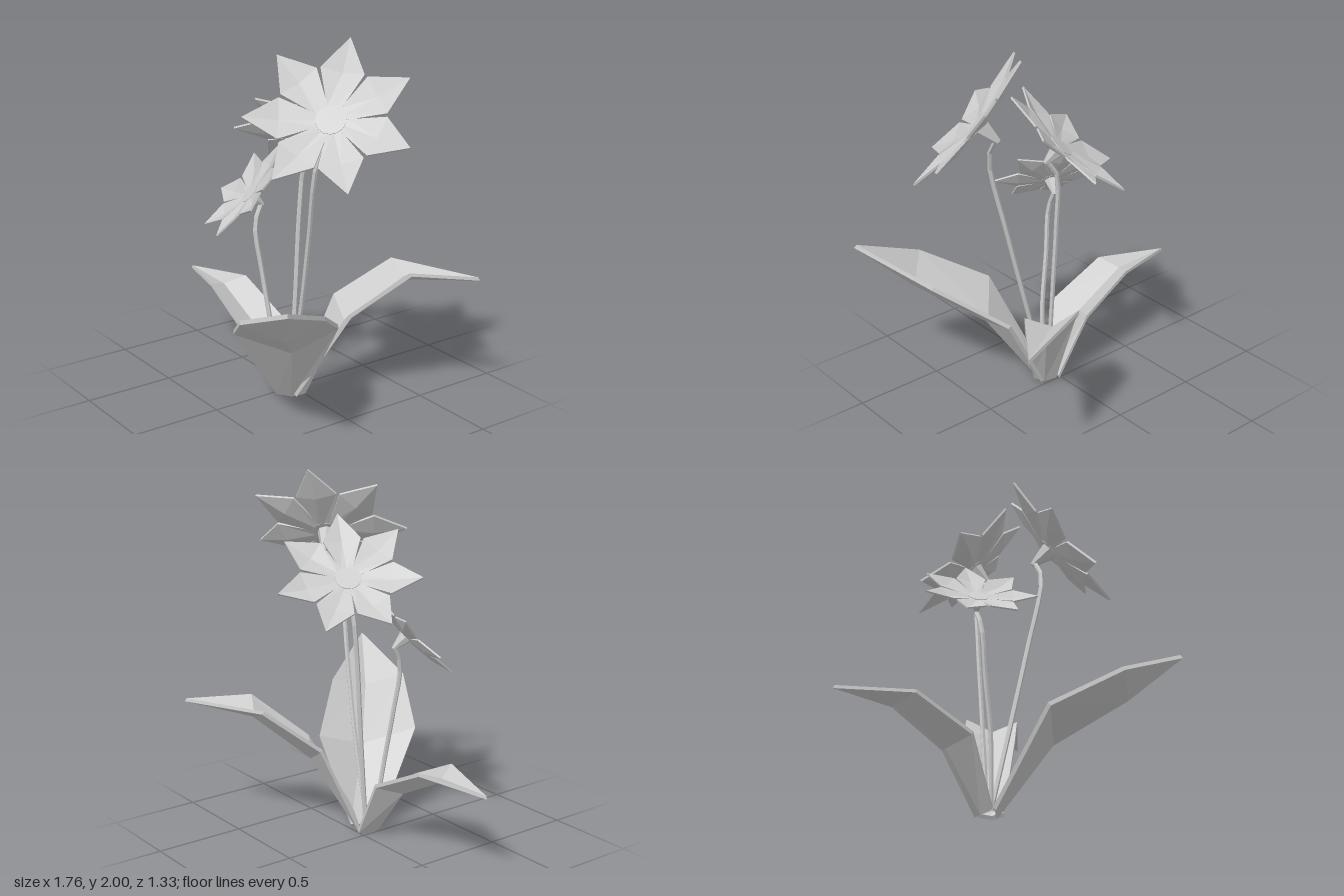
import * as THREE from 'three';

const material = new THREE.MeshStandardMaterial({ color: 0xcccccc, flatShading: true, side: THREE.DoubleSide });
const vec = (p) => new THREE.Vector3(...p);

function addMesh(parent, geometry, name) {
  const mesh = new THREE.Mesh(geometry, material);
  mesh.name = name;
  parent.add(mesh);
  return mesh;
}

// Solid folded blade: rows of [left edge, midrib, right edge], thickened by an offset, ending in a tip
function bladeGeometry(rows, tip, offset) {
  const top = [...rows, [tip, tip, tip]].map((row) => row.map(vec));
  const under = top.map((row) => row.map((p) => p.clone().add(vec(offset))));
  const out = [];
  const tri = (a, b, c) => {
    if (a.equals(b) || b.equals(c) || a.equals(c)) return;
    for (const p of [a, b, c]) out.push(p.x, p.y, p.z);
  };
  const quad = (a, b, c, d) => { tri(a, b, c); tri(a, c, d); };
  for (let i = 0; i < rows.length; i++) {
    for (let j = 0; j < 2; j++) {
      quad(top[i][j], top[i][j + 1], top[i + 1][j + 1], top[i + 1][j]);
      quad(under[i][j + 1], under[i][j], under[i + 1][j], under[i + 1][j + 1]);
    }
    quad(under[i][0], top[i][0], top[i + 1][0], under[i + 1][0]);
    quad(top[i][2], under[i][2], under[i + 1][2], top[i + 1][2]);
  }
  for (let j = 0; j < 2; j++) quad(under[0][j], under[0][j + 1], top[0][j + 1], top[0][j]);
  const geometry = new THREE.BufferGeometry();
  geometry.setAttribute('position', new THREE.Float32BufferAttribute(out, 3));
  geometry.computeVertexNormals();
  return geometry;
}

// Petal along +x, facing +z, with a valley fold down the middle
const petalGeometry = bladeGeometry([
  [[0.07, 0.036, 0.003], [0.07, 0, 0], [0.07, -0.036, 0.003]],
  [[0.256, 0.113, 0.042], [0.256, 0, 0.016], [0.256, -0.113, 0.042]],
], [0.435, 0, 0.064], [0, 0, -0.012]);

const PETALS = 7;

function createFlower({ name, center, normal, toward, size, stem }) {
  const group = new THREE.Group();
  group.name = name;
  const n = vec(normal).normalize();
  const c = vec(center);

  // Head, turned so that its first petal points along "toward"
  const head = new THREE.Group();
  head.name = 'flowerHead';
  const u = vec(toward).addScaledVector(n, -vec(toward).dot(n)).normalize();
  const v = new THREE.Vector3().crossVectors(n, u);
  head.setRotationFromMatrix(new THREE.Matrix4().makeBasis(u, v, n));
  head.position.copy(c);
  head.scale.setScalar(size);
  for (let i = 0; i < PETALS; i++) {
    addMesh(head, petalGeometry, 'petal').rotation.z = (i / PETALS) * Math.PI * 2;
  }
  const disc = new THREE.CylinderGeometry(0.078, 0.078, 0.018, 14).rotateX(Math.PI / 2);
  addMesh(head, disc, 'flowerCentre').position.z = -0.003;
  const cup = new THREE.CylinderGeometry(0.055, 0.015, 0.13, 7).rotateX(Math.PI / 2);
  addMesh(head, cup, 'flowerCup').position.z = -0.073;
  group.add(head);

  // Curved stem running into the cup
  const path = new THREE.CatmullRomCurve3([...stem.map(vec), c.clone().addScaledVector(n, -0.12 * size)]);
  addMesh(group, new THREE.TubeGeometry(path, 14, 0.013, 6), 'stem');
  return group;
}

const flowers = [
  {
    name: 'tallFlower', center: [0.46, 1.63, 0.1], normal: [0.545, 0.64, 0.544],
    toward: [-0.144, 0.328, -0.236], size: 1,
    stem: [[0.06, 0.03, 0.07], [0.19, 0.55, 0.08], [0.28, 0.95, 0.1], [0.38, 1.42, 0.115]],
  },
  {
    name: 'backFlower', center: [0.05, 1.456, -0.065], normal: [-0.543, 0.75, -0.38],
    toward: [0.122, -0.08, -0.363], size: 0.9,
    stem: [[0.05, 0.03, 0.05], [0.045, 0.6, 0.01], [0.04, 1.0, -0.015], [0.052, 1.28, -0.035]],
  },
  {
    name: 'frontFlower', center: [-0.105, 1.133, 0.203], normal: [-0.29, 0.675, 0.68],
    toward: [0.083, -0.193, 0.226], size: 0.71,
    stem: [[0.04, 0.03, 0.1], [0.01, 0.39, 0.145], [-0.04, 0.7, 0.17], [-0.075, 0.97, 0.188]],
  },
];

// Broad folded leaves, rows running from the ground to the tip
const leaves = [
  {
    name: 'rightLeaf', tip: [-0.87, 0.485, 0.1], offset: [-0.008, -0.018, 0],
    rows: [
      [[0.03, 0.03, 0.13], [0.01, 0.02, 0.06], [0.03, 0.03, -0.02]],
      [[-0.155, 0.36, 0.23], [-0.22, 0.315, 0.09], [-0.155, 0.36, -0.045]],
      [[-0.475, 0.515, 0.215], [-0.53, 0.475, 0.1], [-0.475, 0.515, -0.015]],
    ],
  },
  {
    name: 'frontLeaf', tip: [0.87, 0.875, 0.655], offset: [0.012, -0.018, 0.008],
    rows: [
      [[0.12, 0.03, 0.0], [0.09, 0.02, 0.07], [0.03, 0.03, 0.13]],
      [[0.37, 0.49, -0.03], [0.32, 0.4, 0.235], [0.13, 0.5, 0.47]],
      [[0.65, 0.7, 0.27], [0.62, 0.63, 0.49], [0.47, 0.71, 0.655]],
    ],
  },
  {
    name: 'backLeaf', tip: [0.755, 0.735, -0.655], offset: [0.008, -0.018, -0.008],
    rows: [
      [[0.03, 0.03, 0.0], [0.09, 0.02, 0.03], [0.13, 0.03, 0.08]],
      [[0.08, 0.53, -0.22], [0.24, 0.44, -0.17], [0.35, 0.52, -0.12]],
      [[0.27, 0.745, -0.465], [0.42, 0.69, -0.43], [0.545, 0.757, -0.365]],
    ],
  },
];

export function createModel() {
  const model = new THREE.Group();
  model.name = 'floweringPlant';
  for (const flower of flowers) model.add(createFlower(flower));
  for (const { name, rows, tip, offset } of leaves) addMesh(model, bladeGeometry(rows, tip, offset), name);
  return model;
}
